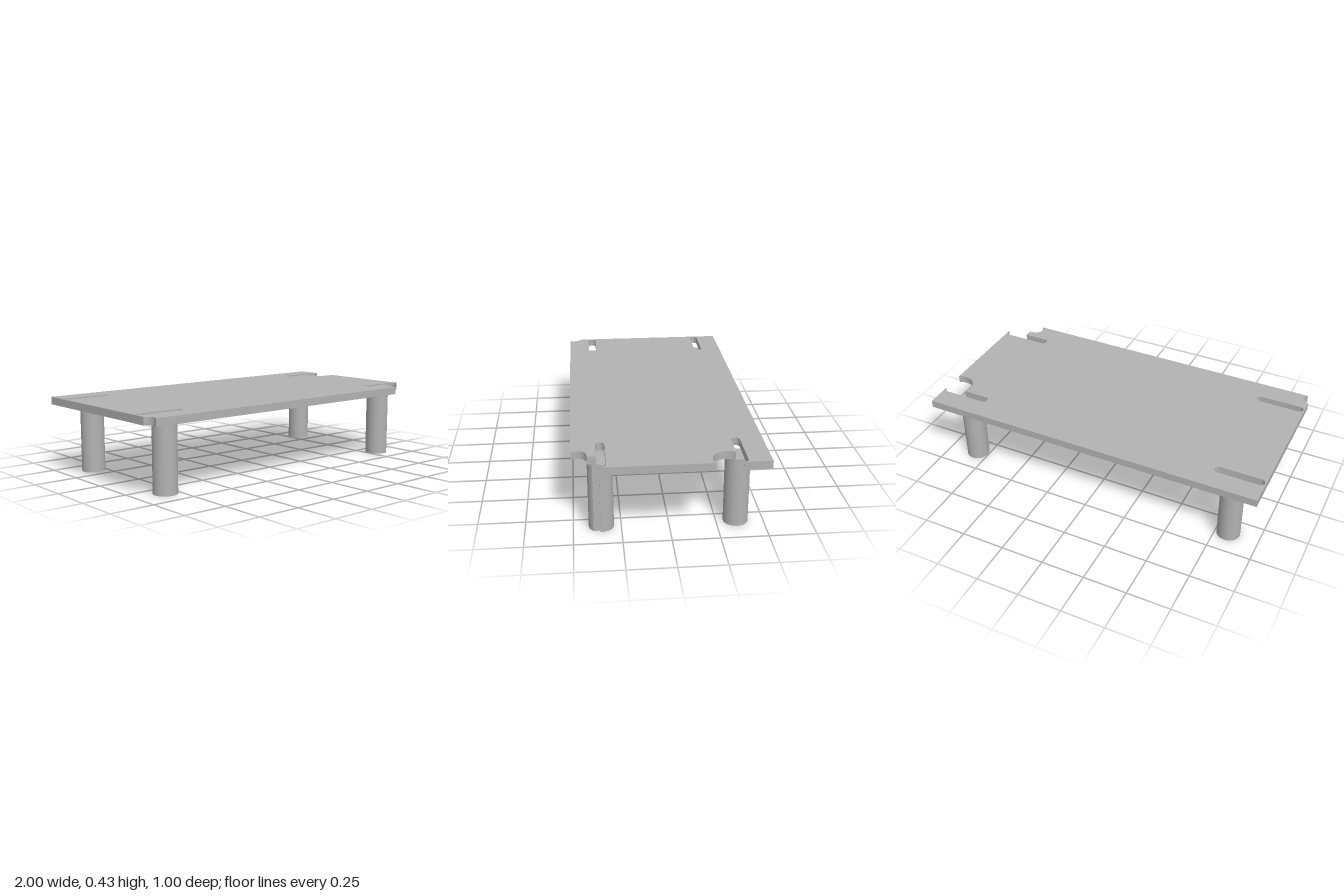
import * as THREE from 'three';
import { toCreasedNormals } from 'three/addons/utils/BufferGeometryUtils.js';

const LEG_TOP = 0.385, TOP = 0.428, BORE_DEPTH = 0.25;
const LEG_R = 0.066, SLOT_R = 0.0235, BORE_R = 0.009;
const rad = THREE.MathUtils.degToRad;

// Points along an arc, angles in degrees, measured from +x towards +z
function arc(cx, cz, r, from, to, steps = 24) {
  const pts = [];
  for (let i = 0; i <= steps; i++) {
    const a = rad(from + (to - from) * i / steps);
    pts.push(new THREE.Vector2(cx + r * Math.cos(a), cz + r * Math.sin(a)));
  }
  return pts;
}
const p = (x, z) => new THREE.Vector2(x, z);

// Extrude a plan shape (x, z) between two heights
function slab(shape, bottom, top) {
  const geo = new THREE.ExtrudeGeometry(shape, { depth: top - bottom, bevelEnabled: false });
  geo.rotateX(Math.PI / 2).translate(0, top, 0);
  return toCreasedNormals(geo, rad(30));
}

// Table top outline with its corner cut-outs and the two open right-hand slots
function topShape() {
  const shape = new THREE.Shape([
    p(-1, -0.5), p(1, -0.5), p(1, -0.356),
    ...arc(0.974, -0.356, SLOT_R, 0, -90),
    ...arc(0.734, -0.356, SLOT_R, -90, -270),
    ...arc(0.955, -0.29, 0.085, 210, 58, 40),
    p(1, -0.218), p(1, 0.36),
    ...arc(0.974, 0.35, SLOT_R, 25, -90),
    ...arc(0.734, 0.35, SLOT_R, -90, -270),
    p(0.872, 0.3735), p(0.872, 0.42),
    ...arc(0.85, 0.465, 0.045, -90, -231),
    ...arc(-1.012, 0.47, 0.045, 42, -74.5),
  ]);
  // Closed left-hand slots
  for (const z of [-0.356, 0.35]) {
    shape.holes.push(new THREE.Path([
      ...arc(-0.969, z, SLOT_R, 90, 270),
      ...arc(-0.738, z, SLOT_R, -90, 90),
    ]));
  }
  return shape;
}

// Leg plan; the notched one loses a square corner
function legShape(x, z, notched) {
  if (!notched) return new THREE.Shape(arc(x, z, LEG_R, 0, 360, 64).slice(0, -1));
  const cutX = 0.872, cutZ = 0.36;
  const a = THREE.MathUtils.radToDeg(Math.acos((cutX - x) / LEG_R));
  const b = THREE.MathUtils.radToDeg(Math.asin((cutZ - z) / LEG_R));
  return new THREE.Shape([...arc(x, z, LEG_R, a, 360 + b, 64), p(cutX, cutZ)]);
}

export function createModel() {
  const model = new THREE.Group();
  model.name = 'lowTable';
  const grey = new THREE.MeshStandardMaterial({ color: 0xb2b2b2 });
  grey.name = 'grey';

  const add = (parent, name, geo) => {
    const mesh = new THREE.Mesh(geo, grey);
    mesh.name = name;
    parent.add(mesh);
  };

  add(model, 'tableTop', slab(topShape(), LEG_TOP, TOP));

  // Four legs, each with a blind bore from below
  for (const [side, x] of [['Right', -0.824], ['Left', 0.82]]) {
    for (const [end, z] of [['front', 0.354], ['back', -0.354]]) {
      const leg = new THREE.Group();
      leg.name = `${end}${side}Leg`;
      const notched = side === 'Left' && end === 'front';
      const bored = legShape(x, z, notched);
      bored.holes.push(new THREE.Path(arc(x, z, BORE_R, 0, 360, 20).slice(0, -1)));
      add(leg, 'boredLegFoot', slab(bored, 0, BORE_DEPTH));
      add(leg, 'solidLegHead', slab(legShape(x, z, notched), BORE_DEPTH, LEG_TOP));
      model.add(leg);
    }
  }
  return model;
}
